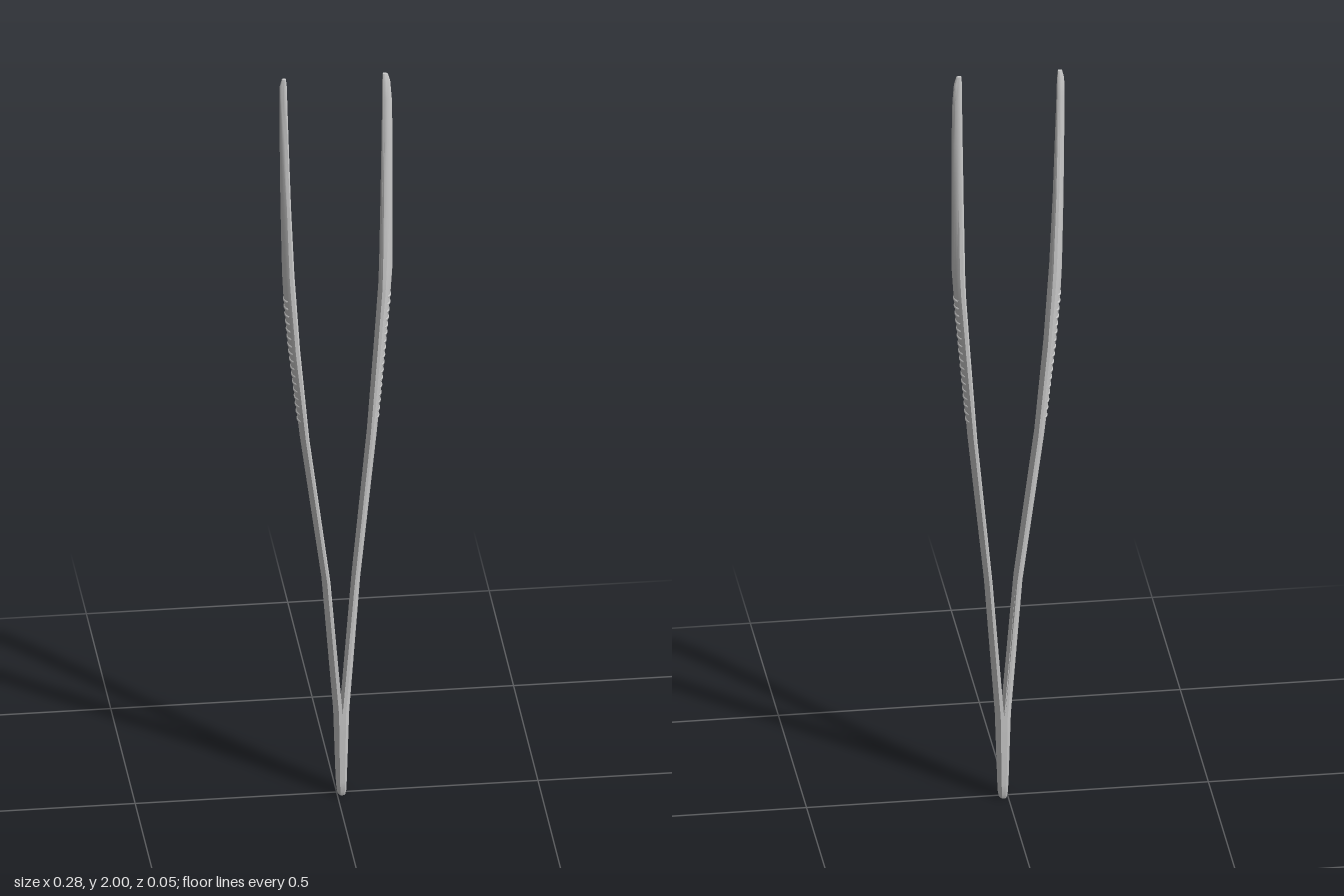
import * as THREE from 'three';
import { toCreasedNormals } from 'three/addons/utils/BufferGeometryUtils.js';

const MID = 0.012; // plane where the two arms are joined

// Stations up each arm: y, inner x, outer x, half depth
const LEFT = [
  [0, MID, 0.022, 0.019], [0.012, MID, 0.024, 0.024], [0.04, MID, 0.025, 0.026], [0.23, MID, 0.031, 0.027],
  [0.6, 0.04, 0.058, 0.027], [1.0, 0.078, 0.099, 0.027], [1.25, 0.096, 0.121, 0.027], [1.4, 0.106, 0.134, 0.026],
  [1.46, 0.108, 0.138, 0.025], [1.65, 0.111, 0.139, 0.02], [1.82, 0.113, 0.139, 0.014],
  [1.93, 0.114, 0.137, 0.0095], [1.98, 0.114, 0.133, 0.007], [2, 0.115, 0.127, 0.004],
];
const RIGHT = [
  [0, MID, 0.002, 0.019], [0.012, MID, 0, 0.024], [0.04, MID, -0.002, 0.026], [0.23, MID, -0.008, 0.027],
  [0.6, -0.018, -0.037, 0.027], [1.0, -0.07, -0.091, 0.027], [1.25, -0.093, -0.119, 0.027], [1.4, -0.103, -0.132, 0.026],
  [1.46, -0.107, -0.135, 0.025], [1.65, -0.115, -0.139, 0.02], [1.82, -0.12, -0.141, 0.014],
  [1.93, -0.123, -0.142, 0.0095], [1.98, -0.124, -0.141, 0.007], [2, -0.126, -0.136, 0.004],
];

// Half section: [share of thickness from the inner face, share of half depth]
const HALF = [[0, 0.82], [0.15, 1], [0.45, 1], [0.75, 0.75], [0.93, 0.45], [1, 0.18]];
const SECTION = [[0, -0.82], ...HALF, ...HALF.slice(1).reverse().map(([t, d]) => [t, -d])];

function loft(stations, side) {
  const n = SECTION.length, pos = [], idx = [];
  const tri = (a, b, c) => (side > 0 ? idx.push(a, b, c) : idx.push(a, c, b));
  stations.forEach(([y, xi, xo, h], i) => {
    for (const [t, d] of SECTION) {
      // the joined stretch keeps square inner edges so that no gap shows
      const depth = i < 4 && t === 0 ? Math.sign(d) : d;
      pos.push(xi + (xo - xi) * t, y, h * depth);
    }
  });
  for (let i = 0; i < stations.length - 1; i++) {
    for (let j = 0; j < n; j++) {
      const a = i * n + j, b = i * n + (j + 1) % n;
      tri(a, b, b + n);
      tri(a, b + n, a + n);
    }
  }
  const top = (stations.length - 1) * n;
  for (let j = 1; j < n - 1; j++) {
    tri(0, j + 1, j);
    tri(top, top + j, top + j + 1);
  }
  const geo = new THREE.BufferGeometry();
  geo.setAttribute('position', new THREE.Float32BufferAttribute(pos, 3));
  geo.setIndex(idx);
  return toCreasedNormals(geo, 0.6);
}

function outerX(stations, y) {
  const i = stations.findIndex((s) => s[0] > y);
  const a = stations[i - 1], b = stations[i];
  return a[2] + (b[2] - a[2]) * (y - a[0]) / (b[0] - a[0]);
}

export function createModel() {
  const group = new THREE.Group();
  group.name = 'tweezers';
  const steel = new THREE.MeshStandardMaterial({ color: 0xcccccc });

  // Grip ridge: a short arched bar lying across the domed outer face
  const arch = new THREE.CatmullRomCurve3([
    new THREE.Vector3(-0.008, 0, -0.02), new THREE.Vector3(-0.002, 0, -0.011),
    new THREE.Vector3(0, 0, 0), new THREE.Vector3(-0.002, 0, 0.011), new THREE.Vector3(-0.008, 0, 0.02),
  ]);
  const ridgeGeo = new THREE.TubeGeometry(arch, 10, 0.004, 6, false);

  for (const [name, stations, side] of [['left', LEFT, 1], ['right', RIGHT, -1]]) {
    const arm = new THREE.Mesh(loft(stations, side), steel);
    arm.name = name + 'Arm';
    group.add(arm);

    const grip = new THREE.Group();
    grip.name = name + 'GripRidges';
    for (let k = 0; k < 17; k++) {
      const y = 1.05 + k * 0.021;
      const ridge = new THREE.Mesh(ridgeGeo, steel);
      ridge.name = 'gripRidge';
      ridge.position.set(outerX(stations, y) - side * 0.001, y, 0);
      if (side < 0) ridge.rotation.y = Math.PI;
      grip.add(ridge);
    }
    group.add(grip);
  }
  return group;
}
